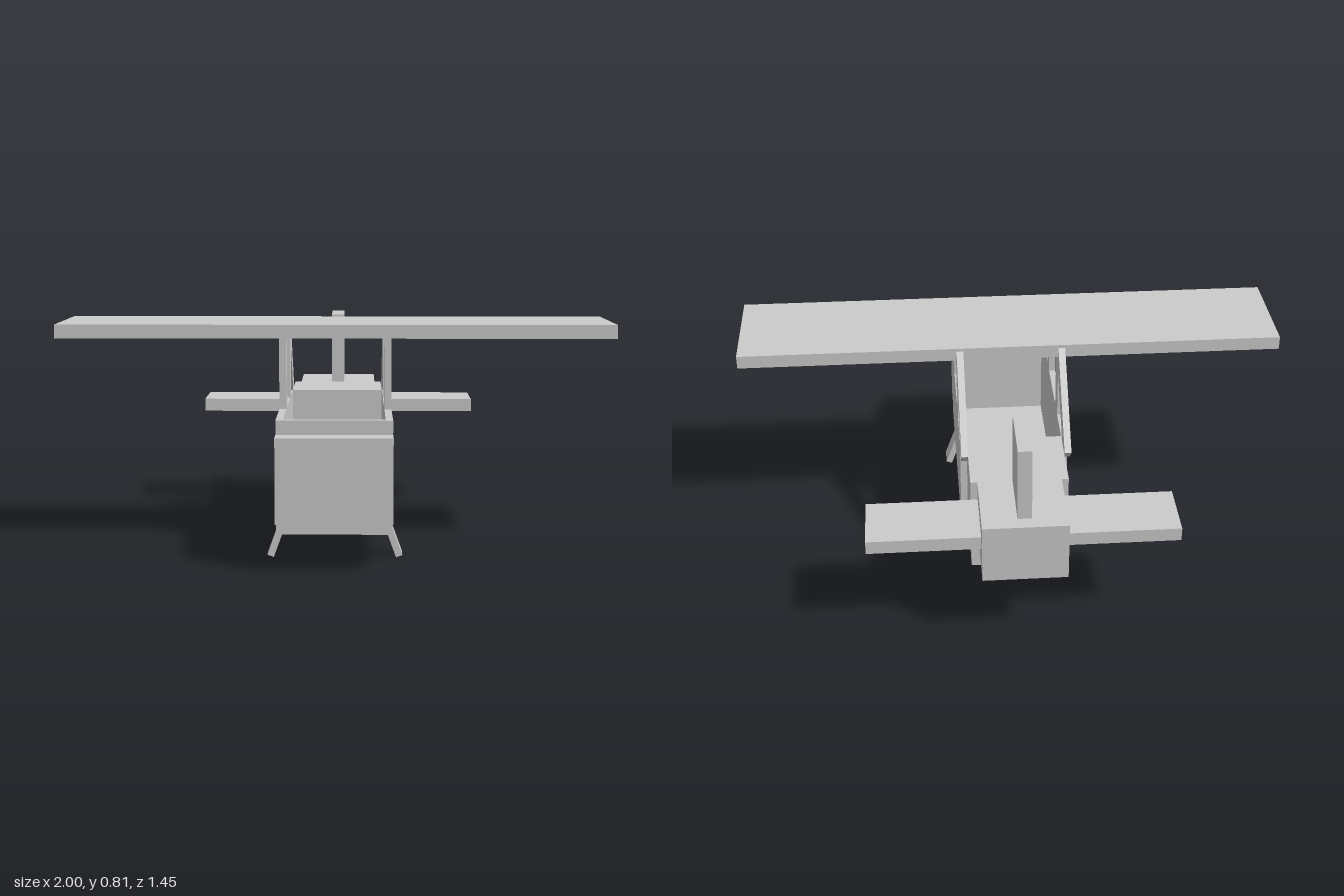
import * as THREE from 'three';

const material = new THREE.MeshStandardMaterial({ color: 0xcccccc, flatShading: true });

export function createModel() {
  const model = new THREE.Group();
  model.name = 'toyPlane';

  // Box given by its limits on each axis
  function block(name, [x0, x1], [y0, y1], [z0, z1]) {
    const mesh = new THREE.Mesh(new THREE.BoxGeometry(x1 - x0, y1 - y0, z1 - z0), material);
    mesh.position.set((x0 + x1) / 2, (y0 + y1) / 2, (z0 + z1) / 2);
    mesh.name = name;
    model.add(mesh);
    return mesh;
  }

  // Open cockpit tub: floor, front wall, and side walls (added below)
  const outer = 0.2, inner = 0.175, top = 0.512;
  const floorY = 0.117, floorTop = 0.142, tubBack = -0.173, tubFront = 0.651;
  block('cockpitFloor', [-outer, outer], [floorY, floorTop], [tubBack, tubFront]);
  block('cockpitFrontWall', [-inner, inner], [floorTop, top], [0.626, tubFront]);
  block('nose', [-outer, outer], [0.167, 0.463], [tubFront, 0.725]);

  // Rear fuselage, stepping down to the tail
  block('rearFuselage', [-inner, inner], [floorTop, top], [-0.449, tubBack]);
  block('tailBlock', [-0.15, 0.15], [0.29, top], [-0.725, -0.449]);
  block('tailFin', [-0.025, 0.025], [top, 0.788], [-0.674, -0.451]);

  // Wing across the struts
  block('wing', [-1, 1], [0.765, 0.814], [-0.025, 0.373]);

  for (const [side, s] of [['left', 1], ['right', -1]]) {
    const span = (a, b) => (s > 0 ? [a, b] : [-b, -a]);
    const wall = span(inner, outer);

    block(side + 'CockpitWall', wall, [floorTop, top], [tubBack, tubFront]);
    block(side + 'FrontStrut', wall, [top, 0.765], [0.3, 0.373]);
    block(side + 'RearStrut', wall, [top, 0.765], [-0.025, 0.05]);
    block(side + 'Tailplane', span(0.15, 0.548), [0.39, 0.44], [-0.674, -0.451]);

    // Diagonal brace from the wing's rear edge down to the fuselage
    const brace = block(side + 'Brace', wall, [0.439, 0.846], [-0.17, -0.1]);
    brace.rotation.x = Math.PI / 4;

    // Splayed landing leg
    const leg = block(side + 'LandingLeg', span(0.194, 0.218), [0.002, 0.127], [0.426, 0.501]);
    leg.rotation.z = s * THREE.MathUtils.degToRad(20);
  }

  return model;
}
